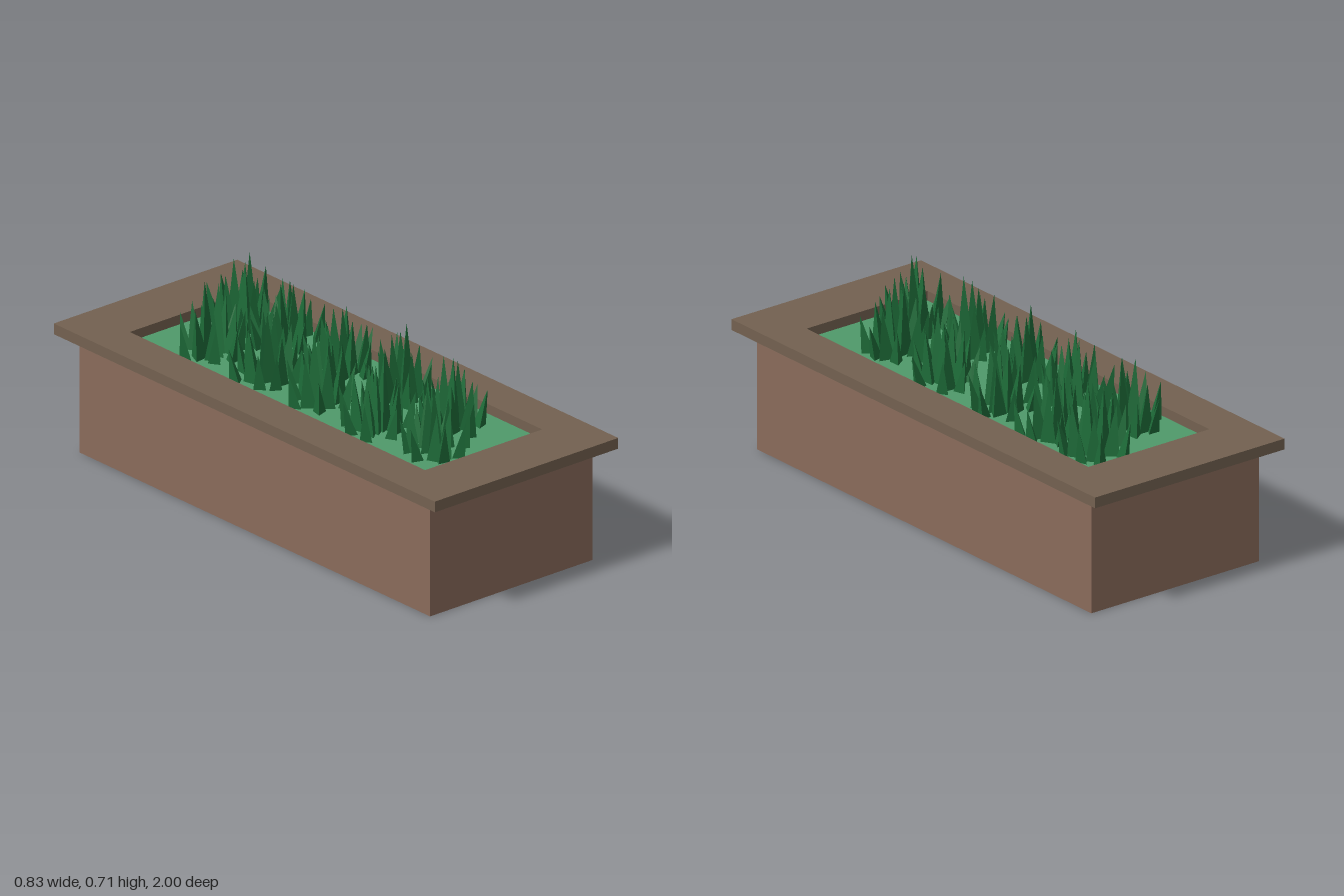
import * as THREE from 'three';
import { mergeGeometries } from 'three/addons/utils/BufferGeometryUtils.js';

const material = (color) => new THREE.MeshStandardMaterial({ color, flatShading: true });

function makeRandom(seed) {
  return () => {
    seed = (seed * 16807) % 2147483647;
    return seed / 2147483647;
  };
}

// Rectangle centred on the origin, as a list of corners
const rectangle = (w, d) => [[-1, -1], [1, -1], [1, 1], [-1, 1]]
  .map(([x, y]) => new THREE.Vector2((x * w) / 2, (y * d) / 2));

// Three-sided spike whose tip is sheared sideways by (leanX, leanZ)
function blade(x, z, radius, height, turn, leanX, leanZ) {
  const geometry = new THREE.ConeGeometry(radius, height, 3, 1, true);
  geometry.rotateY(turn).translate(0, height / 2, 0);
  const p = geometry.attributes.position;
  for (let i = 0; i < p.count; i++) {
    const t = p.getY(i) / height;
    p.setXYZ(i, p.getX(i) + x + leanX * t, p.getY(i), p.getZ(i) + z + leanZ * t);
  }
  return geometry;
}

// Tuft: tall spikes in the middle, shorter ones leaning out around them
function tuftGeometry(random) {
  const rings = [
    { count: 3, distance: 0.022, height: 0.265, radius: 0.036, lean: 0.005 },
    { count: 5, distance: 0.06, height: 0.2, radius: 0.033, lean: 0.018 },
    { count: 7, distance: 0.098, height: 0.14, radius: 0.026, lean: 0.028 },
  ];
  const blades = [];
  for (const ring of rings) {
    const start = random() * Math.PI * 2;
    for (let i = 0; i < ring.count; i++) {
      const a = start + ((i + (random() - 0.5) * 0.5) / ring.count) * Math.PI * 2;
      const d = ring.distance * (0.85 + random() * 0.3);
      const h = ring.height * (0.85 + random() * 0.2);
      blades.push(blade(Math.cos(a) * d, Math.sin(a) * d, ring.radius, h, random() * 6.28,
        Math.cos(a) * ring.lean, Math.sin(a) * ring.lean));
    }
  }
  return mergeGeometries(blades);
}

export function createModel() {
  const model = new THREE.Group();
  const add = (name, geometry, mat, x, y, z) => {
    const mesh = new THREE.Mesh(geometry, mat);
    mesh.name = name;
    mesh.position.set(x, y, z);
    model.add(mesh);
    return mesh;
  };

  // Planter box
  add('planterBox', new THREE.BoxGeometry(0.735, 0.43, 1.84), material(0x8a6b5b), 0, 0.215, 0);

  // Overhanging rim with a rectangular opening
  const outline = new THREE.Shape(rectangle(0.83, 2));
  outline.holes.push(new THREE.Path(rectangle(0.53, 1.55).reverse()));
  const rim = new THREE.ExtrudeGeometry(outline, { depth: 0.04, bevelEnabled: false });
  rim.rotateX(-Math.PI / 2);
  add('rim', rim, material(0x736150), 0, 0.43, 0);

  // Ground cover inside the opening
  const soil = new THREE.PlaneGeometry(0.53, 1.55).rotateX(-Math.PI / 2);
  add('groundCover', soil, material(0x4f9a6a), 0, 0.434, 0);

  // Two staggered rows of grass tufts
  const random = makeRandom(4271);
  const grass = material(0x1d6b38);
  grass.side = THREE.DoubleSide;
  const tufts = [
    [0.12, -0.63], [-0.11, -0.52], [0.13, -0.41], [-0.11, -0.23], [0.13, -0.12],
    [-0.1, 0.04], [0.13, 0.18], [-0.11, 0.34], [0.1, 0.49], [-0.09, 0.62],
  ];
  tufts.forEach(([x, z], i) => add(`grassTuft${i + 1}`, tuftGeometry(random), grass, x, 0.434, z));

  return model;
}
